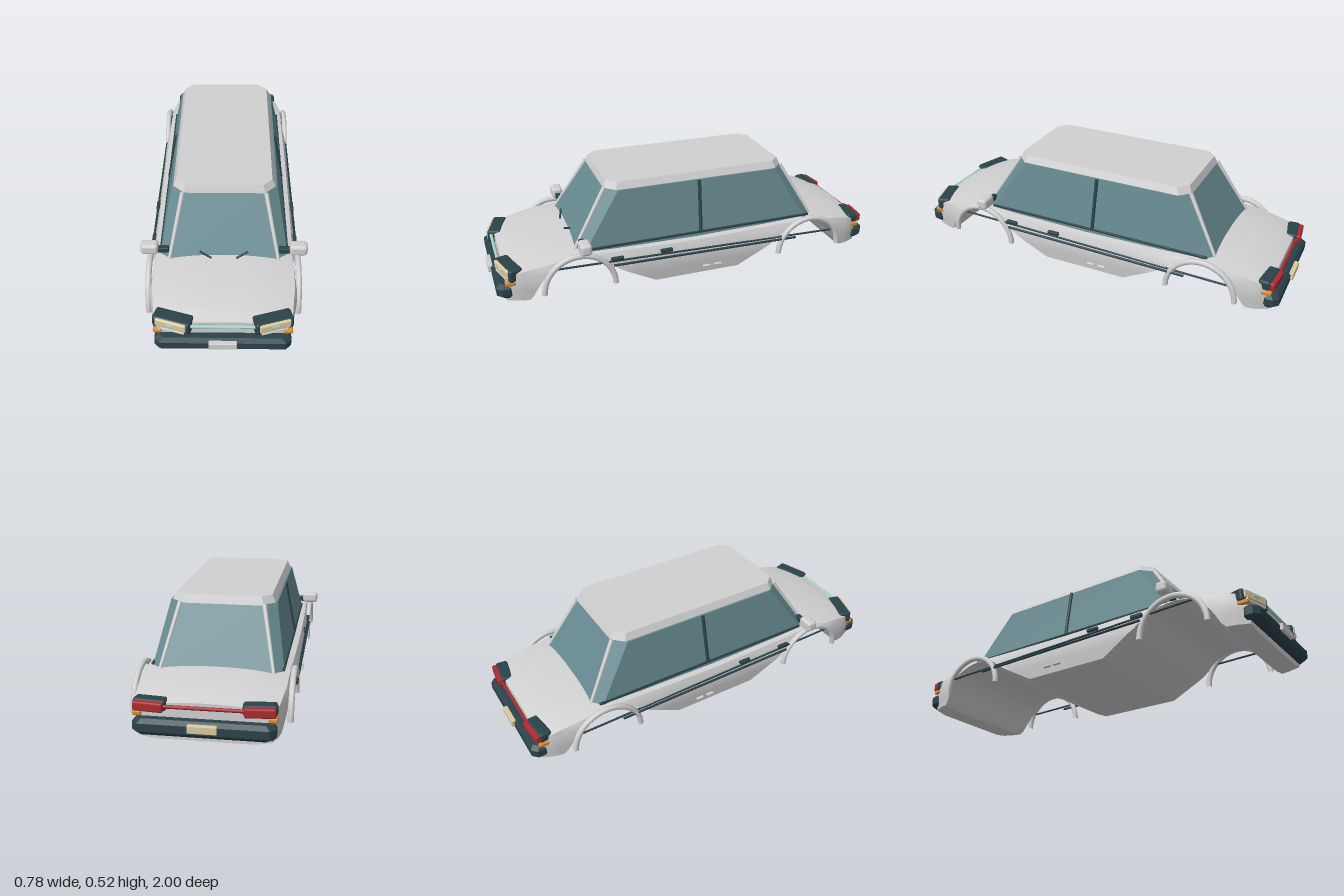
import * as THREE from 'three';
import { toCreasedNormals } from 'three/addons/utils/BufferGeometryUtils.js';
import { RoundedBoxGeometry } from 'three/addons/geometries/RoundedBoxGeometry.js';

const material = (name, color) => {
  const m = new THREE.MeshStandardMaterial({ color });
  m.name = name;
  return m;
};

// Linear lookup in a list of [position, value] knots, ascending
function lookup(knots, p) {
  if (p <= knots[0][0]) return knots[0][1];
  for (let i = 1; i < knots.length; i++) {
    const [a, va] = knots[i - 1], [b, vb] = knots[i];
    if (p <= b) return va + (vb - va) * (p - a) / (b - a);
  }
  return knots[knots.length - 1][1];
}

// Closed skin through equal-length rings, with end caps
function loft(rings, crease = 0.6) {
  const pos = [], n = rings[0].length;
  const tri = (...pts) => pts.forEach(p => pos.push(...p));
  for (let i = 0; i < rings.length - 1; i++) {
    for (let j = 0; j < n; j++) {
      const k = (j + 1) % n;
      const a = rings[i][j], b = rings[i][k], c = rings[i + 1][k], d = rings[i + 1][j];
      tri(a, b, c);
      tri(a, c, d);
    }
  }
  const mid = r => [0, 1, 2].map(c => r.reduce((s, p) => s + p[c], 0) / n);
  const first = rings[0], last = rings[rings.length - 1];
  for (let j = 0; j < n; j++) {
    const k = (j + 1) % n;
    tri(mid(first), first[k], first[j]);
    tri(mid(last), last[j], last[k]);
  }
  const g = new THREE.BufferGeometry();
  g.setAttribute('position', new THREE.Float32BufferAttribute(pos, 3));
  return toCreasedNormals(g, crease);
}

// Horizontal rectangle with chamfered corners
const octagon = (y, x, zf, zr, c) => [
  [x, y, zf - c], [x, y, zr + c], [x - c, y, zr], [c - x, y, zr],
  [-x, y, zr + c], [-x, y, zf - c], [c - x, y, zf], [x - c, y, zf]];

// Body shape rules along its length
const WIDTH = [[-0.94, 0.29], [-0.88, 0.315], [-0.75, 0.34], [-0.6, 0.352], [0, 0.35],
  [0.6, 0.35], [0.75, 0.342], [0.88, 0.315], [0.94, 0.29]];
const TOP = [[0, 0.222], [0.4, 0.228], [0.58, 0.235], [0.7, 0.222], [0.8, 0.206], [0.88, 0.188], [0.94, 0.168]];
const BOTTOM = [[0, 0], [0.22, 0], [0.4, 0.1], [0.44, 0.13], [0.49, 0.165], [0.55, 0.186], [0.61, 0.192],
  [0.67, 0.182], [0.73, 0.15], [0.78, 0.095], [0.81, 0.045], [0.83, 0], [0.94, 0]];
const SIDE = [[0, 0.96], [0.1, 1], [0.16, 0.985], [0.2, 0.94], [0.23, 0.88]];

function bodyRing(z) {
  const w = lookup(WIDTH, z), t = lookup(TOP, Math.abs(z)), b = lookup(BOTTOM, Math.abs(z));
  const edge = t - 0.026, low = Math.min(b + 0.012, edge);
  const half = [[w * 0.74, b]];
  for (let s = 0; s <= 6; s++) {
    const y = low + (edge - low) * s / 6;
    half.push([w * lookup(SIDE, y), y]);
  }
  const x0 = w * lookup(SIDE, edge);
  for (let s = 1; s <= 5; s++) {
    const u = 1 - s / 6;
    half.push([x0 * u, t - 0.026 * u ** 2.5]);
  }
  const right = half.map(([x, y]) => [x, y, z]);
  const left = half.map(([x, y]) => [-x, y, z]).reverse();
  return [[0, b, z], ...right, [0, t, z], ...left];
}

export function createModel() {
  const car = new THREE.Group();
  car.name = 'car';
  const paint = material('body grey', 0xd0d0d0);
  const glass = material('glass teal', 0x66898f);
  const trim = material('dark trim', 0x2a424a);
  const cream = material('lamp cream', 0xd9caa0);
  const orange = material('indicator orange', 0xd98a30);
  const red = material('tail red', 0xa82c30);
  const mint = material('grille mint', 0xa6d3c6);

  const add = (name, geo, mat, x = 0, y = 0, z = 0, parent = car) => {
    const m = new THREE.Mesh(geo, mat);
    m.name = name;
    m.position.set(x, y, z);
    parent.add(m);
    return m;
  };
  const box = (w, h, d, r = 0.005) => new RoundedBoxGeometry(w, h, d, 2, r);
  // Straight rod between two points
  const rod = (name, mat, a, b, r, rEnd = r) => {
    const p = new THREE.Vector3(...a), q = new THREE.Vector3(...b);
    const m = add(name, new THREE.CylinderGeometry(rEnd, r, p.distanceTo(q), 10), mat);
    m.position.copy(p).add(q).multiplyScalar(0.5);
    m.quaternion.setFromUnitVectors(new THREE.Vector3(0, 1, 0), q.sub(p).normalize());
  };

  // Lower body with tunnel-like wheel openings
  const stations = [];
  for (let i = 0; i <= 94; i++) stations.push(-0.94 + i * 0.02);
  add('body', loft(stations.map(bodyRing), 0.7), paint);

  // Cabin glass and roof
  add('cabinGlass', loft([octagon(0.2, 0.303, 0.612, -0.667, 0.045),
    octagon(0.482, 0.25, 0.432, -0.502, 0.055)], 0.3), glass);
  add('roof', loft([octagon(0.478, 0.243, 0.434, -0.505, 0.05),
    octagon(0.517, 0.225, 0.42, -0.49, 0.045)], 0.3), paint);

  for (const s of [1, -1]) {
    // Window pillars and belt moulding
    rod('frontPillar', paint, [s * 0.258, 0.205, 0.608], [s * 0.195, 0.482, 0.432], 0.008, 0.011);
    rod('rearPillar', paint, [s * 0.258, 0.205, -0.662], [s * 0.195, 0.482, -0.502], 0.008, 0.011);
    rod('centrePillar', trim, [s * 0.299, 0.222, -0.03], [s * 0.251, 0.48, -0.036], 0.009);
    add('beltMoulding', box(0.012, 0.012, 1.19, 0.004), trim, s * 0.299, 0.221, -0.04);

    // Wheel arch flares
    for (const z of [0.6, -0.62]) {
      const arc = new THREE.TorusGeometry(0.172, 0.014, 10, 32, Math.PI);
      add('archFlare', arc, paint, s * 0.346, 0.047, z).rotation.y = Math.PI / 2;
    }

    // Side stripes, handles and sill vents
    rod('upperStripe', trim, [s * 0.346, 0.17, 0.71], [s * 0.346, 0.132, -0.75], 0.005);
    rod('lowerStripe', trim, [s * 0.352, 0.143, 0.435], [s * 0.352, 0.125, -0.54], 0.006);
    for (const z of [0.415, 0.167]) add('doorHandle', box(0.018, 0.018, 0.062), trim, s * 0.346, 0.174, z);
    for (const z of [-0.045, -0.105]) add('sillVent', box(0.016, 0.011, 0.04, 0.004), paint, s * 0.348, 0.049, z);

    // Door mirrors
    add('mirrorArm', box(0.075, 0.028, 0.028), trim, s * 0.295, 0.252, 0.57);
    add('mirror', box(0.084, 0.056, 0.056, 0.016), paint, s * 0.349, 0.262, 0.57);

    // Wipers
    rod('wiper', trim, [s * 0.058, 0.233, 0.61], [s * 0.113, 0.258, 0.592], 0.005);

    // Headlamp cluster, angled back at its outer end
    const head = new THREE.Group();
    head.name = 'headlamp';
    head.position.set(s * 0.22, 0.147, 0.915);
    head.rotation.y = s * 0.3;
    car.add(head);
    add('headlampHousing', box(0.178, 0.064, 0.07, 0.013), trim, 0, 0, 0, head);
    add('headlampLens', box(0.145, 0.044, 0.03, 0.008), cream, 0, 0.007, 0.027, head);
    add('lampBar', box(0.036, 0.013, 0.008, 0.003), mint, 0, 0.01, 0.042, head);
    add('lampStrip', box(0.13, 0.01, 0.02, 0.003), paint, 0, -0.022, 0.031, head);
    add('frontIndicator', box(0.04, 0.022, 0.05, 0.007), orange, s * 0.289, 0.11, 0.92);

    // Tail lamp cluster
    const tail = new THREE.Group();
    tail.name = 'tailLamp';
    tail.position.set(s * 0.232, 0.148, -0.93);
    tail.rotation.y = -s * 0.1;
    car.add(tail);
    add('tailHousing', box(0.145, 0.05, 0.06, 0.013), trim, 0, 0.002, 0.012, tail);
    add('tailLens', box(0.132, 0.042, 0.04, 0.008), red, 0, 0, -0.018, tail);
    add('rearIndicator', box(0.04, 0.022, 0.05, 0.007), orange, s * 0.286, 0.112, -0.925);

    // Bumper and plate at each end
    const ring = (y, inset) => {
      const outer = 0.986 - inset, inner = 0.9;
      return octagon(y, 0.302 - inset, s > 0 ? outer : -inner, s > 0 ? inner : -outer, 0.025);
    };
    add(s > 0 ? 'frontBumper' : 'rearBumper',
      loft([ring(0.028, 0.016), ring(0.046, 0), ring(0.082, 0), ring(0.1, 0.016)], 0.3), trim);
    add(s > 0 ? 'frontPlate' : 'rearPlate', box(0.124, 0.034, 0.03, 0.003),
      s > 0 ? paint : cream, 0, 0.074, s * 0.985);
  }

  // Bars joining the lamps
  rod('grilleBar', mint, [-0.15, 0.157, 0.955], [0.15, 0.157, 0.955], 0.008);
  rod('tailBar', red, [-0.18, 0.15, -0.952], [0.18, 0.15, -0.952], 0.008);
  return car;
}
